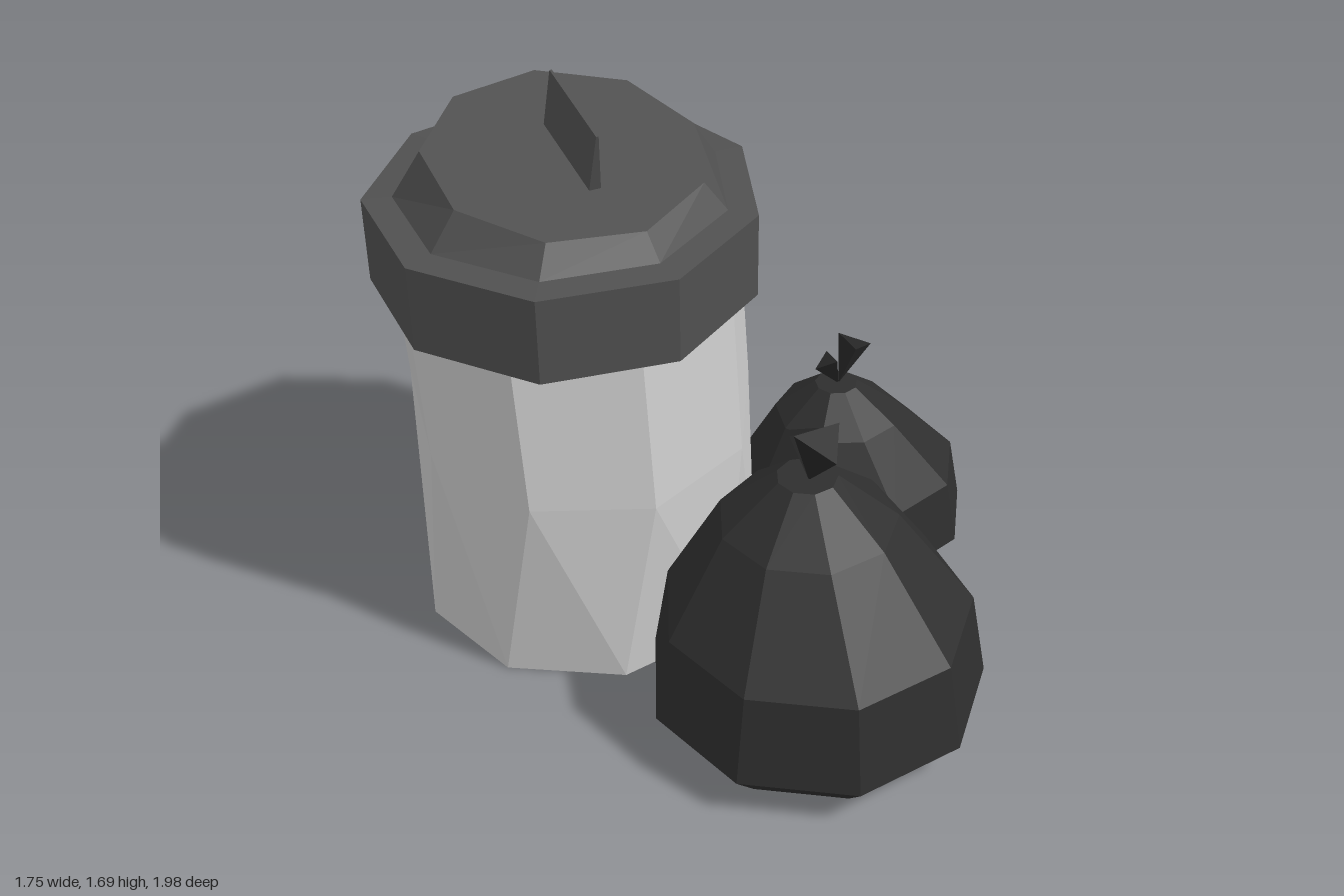
import * as THREE from 'three';
import { ConvexGeometry } from 'three/addons/geometries/ConvexGeometry.js';

const SIDES = 9;
const material = (color) => new THREE.MeshStandardMaterial({ color, flatShading: true });
const canMat = material(0xcccccc);
const lidMat = material(0x505050);
const bagMat = material(0x2e2e2e);
const tieMat = material(0x262626);

function part(name, geometry, mat, parent) {
  const mesh = new THREE.Mesh(geometry, mat);
  mesh.name = name;
  parent.add(mesh);
  return mesh;
}

// Point i of a ring: centre c, radius r, start angle in degrees, y slopes along x and z
function ringPoint({ c, r, start = 0, slopeX = 0, slopeZ = 0 }, i) {
  const a = THREE.MathUtils.degToRad(start) + ((i % SIDES) / SIDES) * Math.PI * 2;
  const dx = r * Math.cos(a), dz = r * Math.sin(a);
  return [c[0] + dx, c[1] + slopeX * dx + slopeZ * dz, c[2] + dz];
}

// Faceted skin through rings listed from bottom to top, capped at both ends
function loft(rings) {
  const pos = [];
  const tri = (...pts) => pts.forEach((p) => pos.push(...p));
  const first = rings[0], last = rings[rings.length - 1];
  for (let i = 0; i < SIDES; i++) {
    for (let k = 0; k < rings.length - 1; k++) {
      const a = ringPoint(rings[k], i), a2 = ringPoint(rings[k], i + 1);
      const b = ringPoint(rings[k + 1], i), b2 = ringPoint(rings[k + 1], i + 1);
      tri(a, b, a2);
      tri(b, b2, a2);
    }
    tri(first.c, ringPoint(first, i), ringPoint(first, i + 1));
    tri(last.c, ringPoint(last, i + 1), ringPoint(last, i));
  }
  const g = new THREE.BufferGeometry();
  g.setAttribute('position', new THREE.Float32BufferAttribute(pos, 3));
  g.computeVertexNormals();
  return g;
}

function createCan() {
  const can = new THREE.Group();
  can.name = 'trashCan';

  // Dented body: twisted foot, slanted crease at mid height
  part('canBody', loft([
    { c: [-0.34, 0, -0.375], r: 0.53, start: -18 },
    { c: [-0.34, 0.7, -0.37], r: 0.525, start: 10, slopeZ: -0.18 },
    { c: [-0.34, 1.12, -0.437], r: 0.53, start: 10, slopeZ: -0.05 },
  ]), canMat, can);

  // Lid: tilted rim, narrow ledge and a more steeply tilted dome
  const rim = { slopeX: 0.013, slopeZ: -0.05 };
  part('lid', loft([
    { c: [-0.342, 1.093, -0.435], r: 0.574, ...rim },
    { c: [-0.342, 1.355, -0.432], r: 0.574, ...rim },
    { c: [-0.343, 1.36, -0.43], r: 0.485, ...rim },
    { c: [-0.337, 1.48, -0.417], r: 0.405, slopeZ: -0.187 },
  ]), lidMat, can);

  // Handle: thin fin narrowing towards its top
  const fin = new THREE.BoxGeometry(0.037, 0.19, 0.332);
  const p = fin.attributes.position;
  for (let i = 0; i < p.count; i++) if (p.getY(i) > 0) p.setX(i, p.getX(i) * 0.2);
  fin.computeVertexNormals();
  const handle = part('lidHandle', fin, lidMat, can);
  handle.position.set(-0.325, 1.56, -0.378);
  handle.rotation.x = 0.195;
  return can;
}

// Tied bag, its belly centred on the origin, its neck set back towards -z
function createBag(name) {
  const bag = new THREE.Group();
  bag.name = name;
  const profile = [ // radius, height, centre z
    [0.39, 0, 0], [0.497, 0.12, 0], [0.45, 0.39, -0.005], [0.258, 0.65, -0.07], [0.087, 0.787, -0.08],
  ];
  part('bagBody', loft(profile.map(([r, y, z]) => ({ c: [0, y, z], r, start: 24.5 }))), bagMat, bag);

  // Two flared ends of the knot: half width, then height and z of inner and outer edges
  for (const [w, y1, z1, y2, z2] of [[0.07, 0.973, -0.035, 0.93, 0.077], [0.045, 0.92, -0.104, 0.88, -0.18]]) {
    const pts = [[0, 0.78, -0.07], [-w, y1, z1], [w, y1, z1], [0, y2, z2]];
    part('bagTie', new ConvexGeometry(pts.map((q) => new THREE.Vector3(...q))), tieMat, bag);
  }
  return bag;
}

export function createModel() {
  const model = new THREE.Group();
  model.name = 'trashCanWithBags';
  model.add(createCan());

  const large = createBag('largeBag');
  large.position.set(0, 0, 0.503);
  model.add(large);

  const small = createBag('smallBag');
  small.position.set(0.5, 0, -0.18);
  small.rotation.y = Math.PI / 2;
  small.scale.setScalar(0.768);
  model.add(small);
  return model;
}
